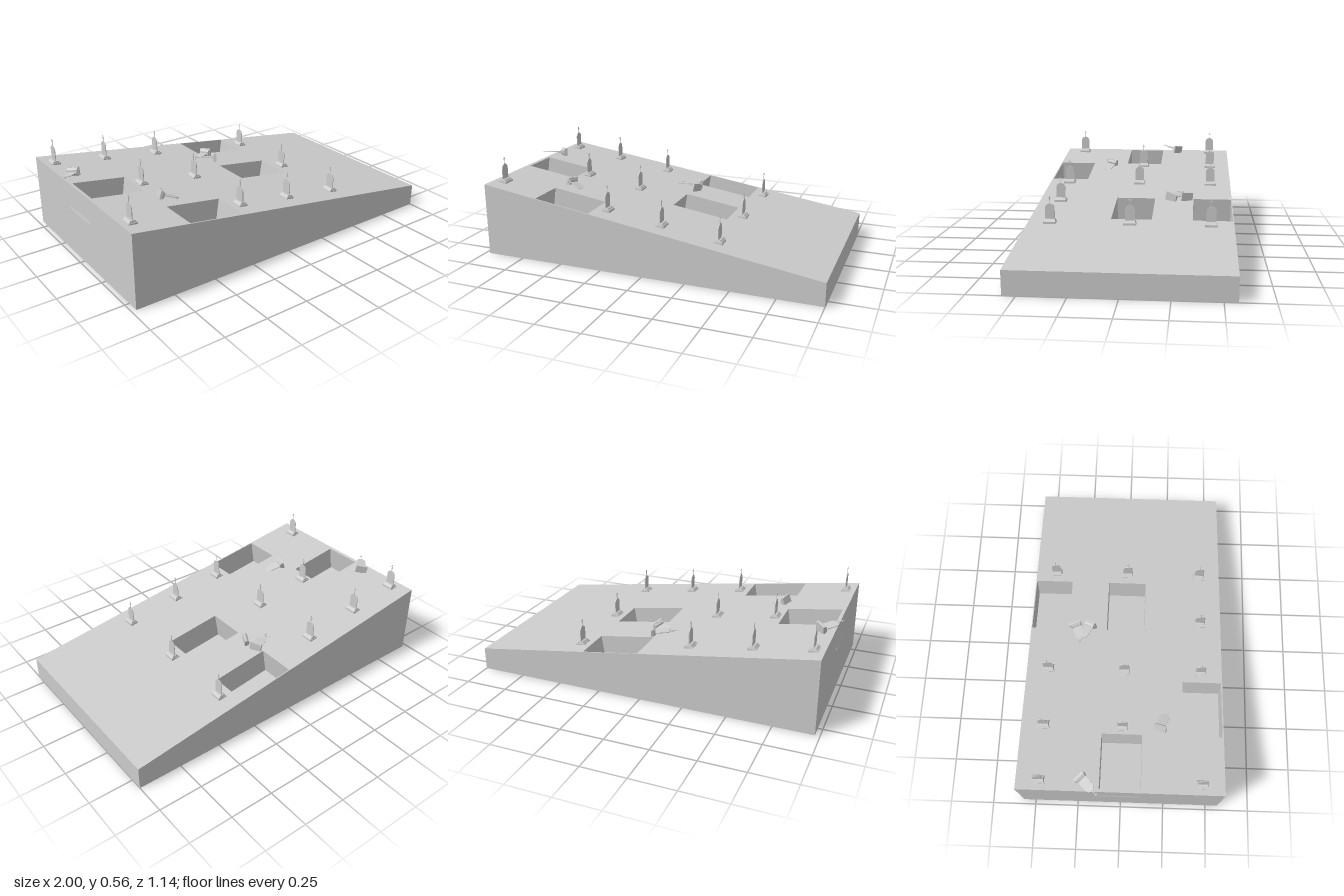
import * as THREE from 'three';

const X0 = -0.974, X1 = 1, Y0 = 0.422, Y1 = 0.13, Z = 0.57;
const ANGLE = Math.atan2(Y0 - Y1, X1 - X0);
const groundY = (x) => Y0 - (x - X0) * Math.tan(ANGLE);
const along = (x) => (x - X0) / Math.cos(ANGLE); // distance down the slope

const mat = new THREE.MeshStandardMaterial({ color: 0xcccccc, flatShading: true });
const thinMat = new THREE.MeshStandardMaterial({ color: 0xcccccc, side: THREE.DoubleSide });

function addMesh(parent, name, geometry, material = mat) {
  const mesh = new THREE.Mesh(geometry, material);
  mesh.name = name;
  parent.add(mesh);
  return mesh;
}

// Pits: x range, z range of each opening
const PITS = [
  [0.01, 0.34, -0.565, -0.343],
  [0.01, 0.34, -0.115, 0.113],
  [-0.955, -0.645, -0.115, 0.113],
  [-0.645, -0.317, 0.34, 0.563],
];
const PIT_DEPTH = 0.15;

// Sides and underside of the wedge
function wedgeSides() {
  const g = new THREE.BufferGeometry();
  g.setAttribute('position', new THREE.Float32BufferAttribute([
    X0, 0, Z, X1, 0, Z, X1, Y1, Z, X0, Y0, Z,
    X0, 0, -Z, X1, 0, -Z, X1, Y1, -Z, X0, Y0, -Z,
  ], 3));
  const quads = [[0, 1, 2, 3], [5, 4, 7, 6], [1, 5, 6, 2], [4, 0, 3, 7], [4, 5, 1, 0]];
  g.setIndex(quads.flatMap(([a, b, c, d]) => [a, b, c, a, c, d]));
  const flat = g.toNonIndexed();
  flat.computeVertexNormals();
  return flat;
}

function rectPoints(u0, u1, z0, z1) {
  return [[u0, -z1], [u1, -z1], [u1, -z0], [u0, -z0]].map(([x, y]) => new THREE.Vector2(x, y));
}

// Sloping lawn with the pit openings cut out
function lawn() {
  const shape = new THREE.Shape(rectPoints(0, along(X1), -Z, Z));
  for (const [a, b, c, d] of PITS) {
    shape.holes.push(new THREE.Path(rectPoints(along(a), along(b), c, d).reverse()));
  }
  return new THREE.ShapeGeometry(shape).rotateX(-Math.PI / 2);
}

// Box without its lid
function pitGeometry([a, b, c, d]) {
  const g = new THREE.BoxGeometry(along(b) - along(a), PIT_DEPTH, d - c);
  const index = Array.from(g.index.array);
  index.splice(12, 6);
  g.setIndex(index);
  g.clearGroups();
  return g.translate((along(a) + along(b)) / 2, -PIT_DEPTH / 2, (c + d) / 2);
}

// Plinth tapering upward to a narrow top
function taperedGeometry() {
  const g = new THREE.BoxGeometry(0.046, 0.012, 0.064);
  const p = g.attributes.position;
  for (let i = 0; i < p.count; i++) {
    if (p.getY(i) > 0) p.setXYZ(i, p.getX(i) * 0.5, p.getY(i), p.getZ(i) * 0.9);
  }
  g.computeVertexNormals();
  return g.translate(0, 0.014, 0);
}

// Thin round-topped slab standing across the x axis
function slabGeometry() {
  const r = 0.027, t = 0.004;
  const s = new THREE.Shape();
  s.moveTo(-r, 0.016);
  s.lineTo(r, 0.016);
  s.lineTo(r, 0.106 - r);
  s.absarc(0, 0.106 - r, r, 0, Math.PI, false);
  s.closePath();
  const g = new THREE.ExtrudeGeometry(s, { depth: t, bevelEnabled: false, curveSegments: 14 });
  return g.translate(0, 0, -t / 2).rotateY(Math.PI / 2);
}

const FOOT = new THREE.BoxGeometry(0.05, 0.014, 0.07).translate(0, 0.001, 0);
const PLINTH = taperedGeometry();
const SLAB = slabGeometry();
const CROSS_POST = new THREE.BoxGeometry(0.003, 0.042, 0.003).translate(0, 0.125, 0);
const CROSS_BAR = new THREE.BoxGeometry(0.003, 0.003, 0.016).translate(0, 0.134, 0);

function headstone(name) {
  const g = new THREE.Group();
  g.name = name;
  addMesh(g, 'foot', FOOT);
  addMesh(g, 'plinth', PLINTH);
  addMesh(g, 'slab', SLAB);
  addMesh(g, 'crossPost', CROSS_POST);
  addMesh(g, 'crossBar', CROSS_BAR);
  return g;
}

// Headstone lying with its top toward dir, slab facing up apart from a roll
function fallenHeadstone(pos, dir, roll) {
  const y = new THREE.Vector3(...dir).normalize();
  const x = new THREE.Vector3(0, 1, 0).addScaledVector(y, -y.y).normalize().applyAxisAngle(y, roll);
  const z = new THREE.Vector3().crossVectors(x, y);
  const stone = headstone('fallenHeadstone');
  stone.quaternion.setFromRotationMatrix(new THREE.Matrix4().makeBasis(x, y, z));
  stone.position.set(...pos);
  return stone;
}

export function createModel() {
  const model = new THREE.Group();
  model.name = 'graveyard';
  addMesh(model, 'hillSides', wedgeSides());

  // Everything cut square to the slope
  const slope = new THREE.Group();
  slope.name = 'slope';
  slope.position.set(X0, Y0, 0);
  slope.rotation.z = -ANGLE;
  model.add(slope);
  addMesh(slope, 'lawn', lawn());
  for (const pit of PITS) addMesh(slope, 'openGrave', pitGeometry(pit), thinMat);

  // Standing headstones in three rows
  const rows = [
    [-0.445, [-0.915, -0.6, -0.253, 0.405]],
    [0, [-0.6, -0.253, 0.405]],
    [0.445, [-0.915, -0.253, 0.072, 0.405]],
  ];
  for (const [z, xs] of rows) {
    for (const x of xs) {
      const stone = headstone('headstone');
      stone.position.set(x, groundY(x), z);
      model.add(stone);
    }
  }

  // Toppled headstones beside the open graves
  model.add(
    fallenHeadstone([-0.898, 0.436, -0.222], [-0.1, 0.018, 0.1], 0.15),
    fallenHeadstone([-0.608, 0.387, 0.212], [0.9, -0.33, 0.33], -0.15),
    fallenHeadstone([0.035, 0.295, -0.305], [-0.9, 0.03, 0.4], 0.1),
    fallenHeadstone([0.04, 0.293, -0.212], [-0.85, 0.06, -0.46], 0.25),
  );
  return model;
}
